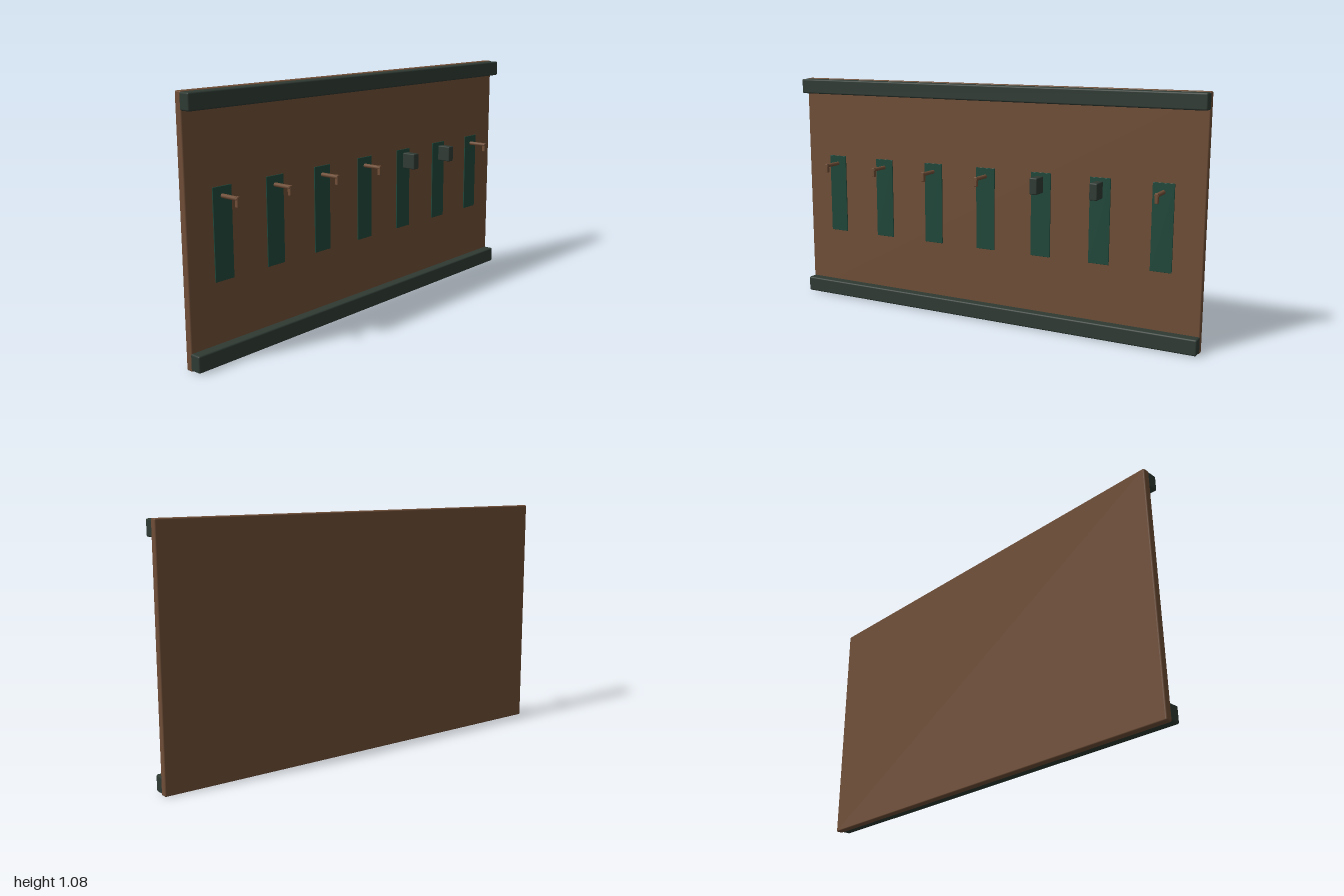
import * as THREE from 'three';
import { RoundedBoxGeometry } from 'three/addons/geometries/RoundedBoxGeometry.js';

function material(name, color) {
  const m = new THREE.MeshStandardMaterial({ color });
  m.name = name;
  return m;
}

export function createModel() {
  const wood = material('brown wood', 0x6f4e37);
  const dark = material('dark green grey', 0x2f3a33);
  const green = material('deep green', 0x1f473a);

  const model = new THREE.Group();
  model.name = 'pegBoard';

  // Rounded box given by its centre x and its y and z ranges
  function box(parent, name, mat, x, width, [y0, y1], [z0, z1], radius) {
    const geometry = new RoundedBoxGeometry(width, y1 - y0, z1 - z0, 2, radius);
    const mesh = new THREE.Mesh(geometry, mat);
    mesh.name = name;
    mesh.position.set(x, (y0 + y1) / 2, (z0 + z1) / 2);
    parent.add(mesh);
    return mesh;
  }

  // Back panel and the two rails along its edges
  box(model, 'backPanel', wood, 0, 2, [0, 1.076], [-0.065, -0.032], 0.006);
  box(model, 'bottomRail', dark, 0, 2, [0.004, 0.074], [-0.04, 0.012], 0.007);
  box(model, 'topRail', dark, 0, 2, [1.004, 1.073], [-0.04, 0.012], 0.007);

  // Seven stations: a thin plate with a hook or a block in front
  const blockStations = [4, 5];
  for (let i = 0; i < 7; i++) {
    const x = (i - 3) * 0.275;
    const station = new THREE.Group();
    station.name = `station${i + 1}`;
    model.add(station);
    box(station, 'plate', green, x, 0.093, [0.328, 0.702], [-0.034, -0.0275], 0.001);

    if (blockStations.includes(i)) {
      box(station, 'block', dark, x, 0.036, [0.616, 0.689], [-0.017, 0.05], 0.005);
      continue;
    }

    // Hook: a round peg with a short tip turned down
    const peg = new THREE.Mesh(new THREE.CylinderGeometry(0.009, 0.009, 0.093, 12), wood);
    peg.name = 'peg';
    peg.rotation.x = Math.PI / 2;
    peg.position.set(x, 0.664, 0.0175);
    station.add(peg);
    box(station, 'hookTip', wood, x, 0.015, [0.63, 0.673], [0.05, 0.066], 0.003);
  }
  return model;
}
